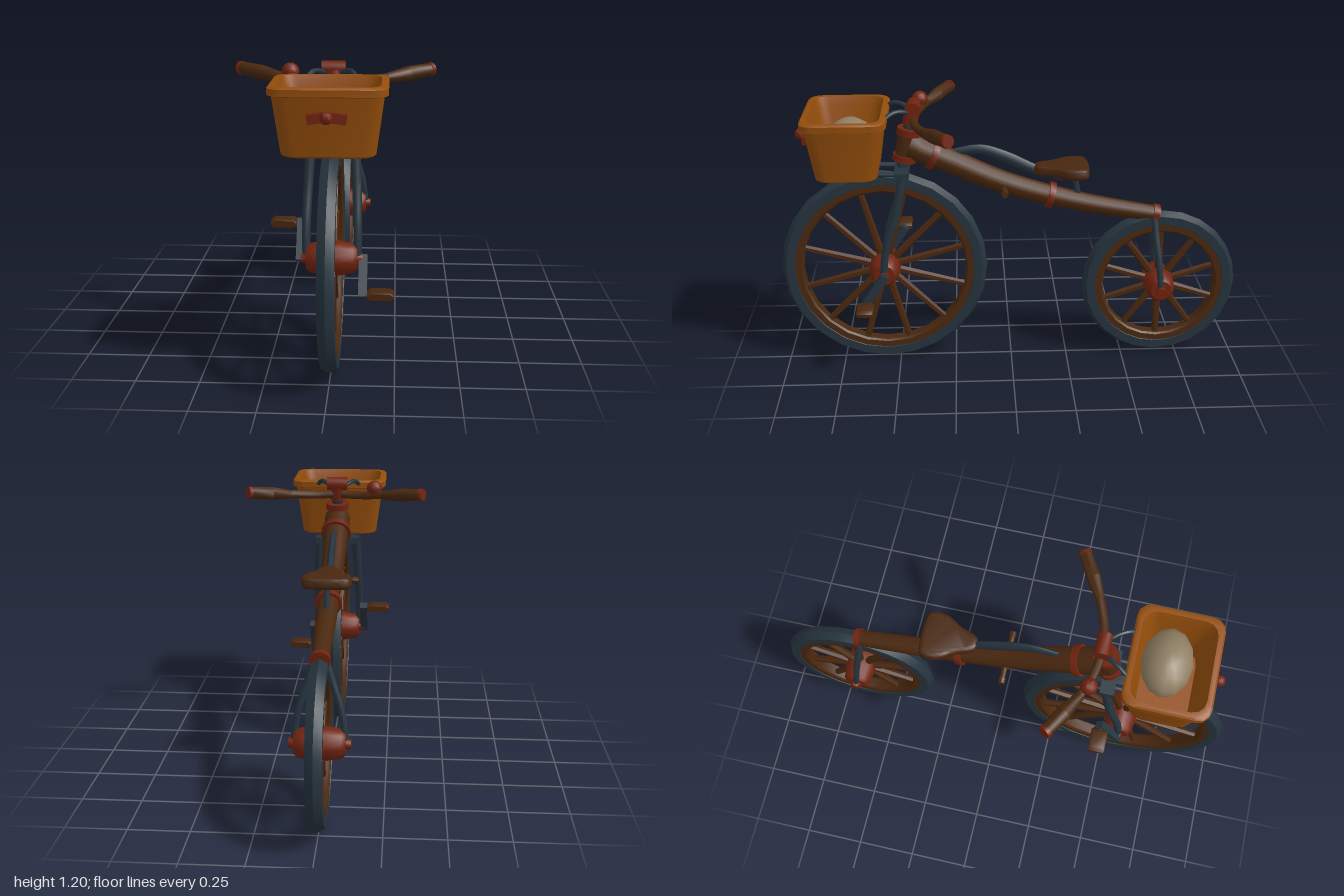
import * as THREE from 'three';
import { toCreasedNormals } from 'three/addons/utils/BufferGeometryUtils.js';

const mat = (name, color) => {
  const m = new THREE.MeshStandardMaterial({ color });
  m.name = name;
  return m;
};
const V = (x, y, z) => new THREE.Vector3(x, y, z);

export function createModel() {
  const wood = mat('dark wood', 0x4a280f);
  const leather = mat('brown leather', 0x48270f);
  const red = mat('rust red', 0x70230f);
  const slate = mat('slate metal', 0x26343e);
  const wicker = mat('orange wicker', 0x934d0b);
  const cream = mat('cream', 0x8f7f64);

  const model = new THREE.Group();
  model.name = 'bicycle';

  const add = (name, geo, material, parent = model, crease = 0.7) => {
    const m = new THREE.Mesh(toCreasedNormals(geo, crease), material);
    m.name = name;
    parent.add(m);
    return m;
  };
  // straight round bar between two points
  const rod = (name, a, b, r0, r1, material, parent = model, sides = 10) => {
    const d = b.clone().sub(a);
    const m = add(name, new THREE.CylinderGeometry(r1, r0, d.length(), sides), material, parent);
    m.position.copy(a).addScaledVector(d, 0.5);
    m.quaternion.setFromUnitVectors(V(0, 1, 0), d.normalize());
    return m;
  };
  // curved bar whose radius follows a rule along its length
  const bentBar = (curve, radius, segments = 14, sides = 10) => {
    const geo = new THREE.TubeGeometry(curve, segments, 1, sides, false);
    const p = geo.attributes.position, v = V(0, 0, 0);
    for (let i = 0; i < p.count; i++) {
      const t = Math.floor(i / (sides + 1)) / segments;
      const c = curve.getPointAt(t);
      v.fromBufferAttribute(p, i).sub(c).multiplyScalar(radius(t)).add(c);
      p.setXYZ(i, v.x, v.y, v.z);
    }
    return geo;
  };
  const spline = (...pts) => new THREE.CatmullRomCurve3(pts.map((p) => V(...p)));

  // wheels: tyre, rim, spokes, barrel hub and axle caps
  const wheel = (name, R, y, z, spokes, offset) => {
    const g = new THREE.Group();
    g.name = name;
    g.position.set(0, y, z);
    model.add(g);
    add('tyre', new THREE.TorusGeometry(R - 0.037, 0.037, 6, 24).rotateY(Math.PI / 2), slate, g, 0.3);
    const rimPts = [[-0.092, -0.022], [-0.084, -0.029], [-0.045, -0.029], [-0.045, 0.029], [-0.084, 0.029],
      [-0.092, 0.022], [-0.092, -0.022]].map(([r, h]) => new THREE.Vector2(R + r, h));
    add('rim', new THREE.LatheGeometry(rimPts, 24).rotateZ(Math.PI / 2), wood, g);
    for (let i = 0; i < spokes; i++) {
      const a = offset + (i / spokes) * Math.PI * 2;
      const at = (r) => V(0, Math.cos(a) * r, Math.sin(a) * r);
      rod('spoke', at(0.05), at(R - 0.075), 0.018, 0.014, wood, g, 6);
    }
    const hub = [[0, -0.1], [0.045, -0.1], [0.058, -0.085], [0.068, -0.03], [0.068, 0.03], [0.058, 0.085],
      [0.045, 0.1], [0, 0.1]].map(([r, h]) => new THREE.Vector2(r, h));
    add('hub', new THREE.LatheGeometry(hub, 14).rotateZ(Math.PI / 2), red, g);
    for (const s of [-1, 1]) rod('axleCap', V(s * 0.09, 0, 0), V(s * 0.122, 0, 0), 0.024, 0.019, red, g);
  };
  wheel('frontWheel', 0.448, 0.45, 0.553, 12, Math.PI / 12);
  wheel('rearWheel', 0.342, 0.35, -0.656, 10, 0);

  // backbone with bands
  const spine = spline([0, 1.01, 0.43], [0, 0.94, 0.27], [0, 0.835, 0.03], [0, 0.745, -0.28], [0, 0.675, -0.645]);
  add('backbone', bentBar(spine, (t) => 0.058 - 0.023 * t, 24, 12), wood);
  const band = (t, r) => {
    const p = spine.getPointAt(t), d = spine.getTangentAt(t);
    rod('backboneBand', p.clone().addScaledVector(d, -0.013), p.clone().addScaledVector(d, 0.013), r, r, red, model, 14);
  };
  band(0.1, 0.067);
  band(0.57, 0.057);
  band(0.985, 0.042);

  // steering column
  const steer = (y) => V(0, y, 0.46 - (y - 0.9) * 0.19);
  rod('steerer', steer(0.89), steer(1.17), 0.026, 0.026, slate);
  rod('headTube', steer(0.95), steer(1.075), 0.043, 0.043, wood, model, 14);
  rod('lowerHeadBand', steer(0.94), steer(0.968), 0.051, 0.051, red, model, 14);
  rod('upperHeadBand', steer(1.055), steer(1.083), 0.051, 0.051, red, model, 14);
  rod('stemClamp', steer(1.1), steer(1.165), 0.032, 0.032, red, model, 12);
  rod('stemCrossbar', V(-0.046, 1.173, 0.406), V(0.046, 1.173, 0.406), 0.03, 0.03, red, model, 12);

  // fork crown
  add('forkCrown', new THREE.BoxGeometry(0.2, 0.03, 0.06), slate).position.set(0, 0.9, 0.462);

  for (const s of [-1, 1]) {
    // fork legs and stays
    add('frontForkLeg', bentBar(spline([s * 0.085, 0.9, 0.458], [s * 0.095, 0.73, 0.492], [s * 0.1, 0.57, 0.54],
      [s * 0.1, 0.44, 0.556]), (t) => 0.02 - 0.004 * t), slate);
    add('rearForkLeg', bentBar(spline([s * 0.02, 0.685, -0.62], [s * 0.045, 0.6, -0.628], [s * 0.083, 0.48, -0.643],
      [s * 0.104, 0.335, -0.656]), (t) => 0.016 - 0.003 * t), slate);
    // basket supports
    rod('lowerBasketSupport', V(s * 0.06, 0.9, 0.45), V(s * 0.06, 0.9, 0.61), 0.012, 0.012, slate, model, 8);
    add('upperBasketSupport', bentBar(spline([s * 0.02, 1.15, 0.41], [s * 0.05, 1.168, 0.445], [s * 0.075, 1.172, 0.485],
      [s * 0.1, 1.145, 0.53]), () => 0.01, 8, 8), slate);
    // handlebar half, grip and end cap
    add('handlebar', bentBar(spline([0, 1.125, 0.408], [s * 0.1, 1.122, 0.395], [s * 0.2, 1.13, 0.36],
      [s * 0.26, 1.137, 0.325]), () => 0.018), wood);
    const inner = V(s * 0.205, 1.13, 0.36), outer = V(s * 0.376, 1.151, 0.265);
    const mid = inner.clone().lerp(outer, 0.5);
    rod('gripInner', inner, mid, 0.019, 0.03, leather);
    rod('gripOuter', mid, outer, 0.03, 0.026, leather);
    const tip = outer.clone().add(V(s * 0.013, 0.002, -0.008));
    rod('gripCap', outer, tip, 0.029, 0.026, red);
    // foot pegs
    rod('footPeg', V(0, 0.82, 0.03), V(s * 0.1, 0.82, 0.03), 0.012, 0.012, wood, model, 8);
    rod('footPegTip', V(s * 0.095, 0.82, 0.03), V(s * 0.117, 0.82, 0.03), 0.016, 0.014, wood, model, 8);
    // crank and pedal
    const py = 0.45 - s * 0.12, pz = 0.553 + s * 0.08;
    const crank = add('crank', new THREE.BoxGeometry(0.034, 0.17, 0.034), slate);
    crank.position.set(s * 0.123, (0.45 + py) / 2, (0.553 + pz) / 2);
    crank.rotation.x = Math.atan2(0.08, -0.12);
    rod('pedalAxle', V(s * 0.12, py, pz), V(s * 0.18, py, pz), 0.011, 0.011, slate, model, 8);
    const outline = [[-0.052, -0.007], [-0.038, -0.017], [0.038, -0.017], [0.052, -0.007],
      [0.052, 0.007], [0.038, 0.017], [-0.038, 0.017], [-0.052, 0.007]].map((p) => new THREE.Vector2(...p));
    const pedal = new THREE.ExtrudeGeometry(new THREE.Shape(outline),
      { depth: 0.056, bevelSize: 0.004, bevelThickness: 0.007, bevelOffset: -0.004, bevelSegments: 1 });
    add('pedal', pedal.translate(0, 0, -0.028), leather).position.set(s * 0.192, py, pz);
  }

  // saddle on a bowed spring and a short post
  const seat = new THREE.Shape();
  seat.moveTo(0, -0.095);
  seat.bezierCurveTo(0.055, -0.095, 0.035, -0.155, 0.08, -0.21);
  seat.bezierCurveTo(0.113, -0.25, 0.108, -0.315, 0.085, -0.325);
  seat.quadraticCurveTo(0, -0.34, -0.085, -0.325);
  seat.bezierCurveTo(-0.108, -0.315, -0.113, -0.25, -0.08, -0.21);
  seat.bezierCurveTo(-0.035, -0.155, -0.055, -0.095, 0, -0.095);
  const saddle = new THREE.ExtrudeGeometry(seat,
    { depth: 0.016, bevelSize: 0.018, bevelThickness: 0.016, bevelOffset: -0.018, bevelSegments: 4, curveSegments: 8 });
  add('saddle', saddle.rotateX(Math.PI / 2), leather).position.y = 0.901;
  const spring = spline([0, 0.975, 0.238], [0, 0.985, 0.13], [0, 0.948, 0.02], [0, 0.9, -0.08], [0, 0.87, -0.16], [0, 0.852, -0.225]);
  add('saddleSpring', bentBar(spring, (t) => 0.016 + 0.01 * Math.sin(Math.PI * t), 18).scale(0.6, 1, 1), slate);
  rod('saddlePost', V(0, 0.755, -0.29), V(0, 0.88, -0.27), 0.013, 0.013, slate);

  // bell
  add('bell', new THREE.SphereGeometry(0.035, 12, 8), red).position.set(-0.17, 1.157, 0.385);

  // basket: rounded rectangles joined from underside, over the rim, to the inner floor
  const levels = [[0.905, 0, 0], [0.905, 0.165, 0.12], [0.912, 0.174, 0.128], [1.13, 0.203, 0.16], [1.135, 0.217, 0.174],
    [1.16, 0.217, 0.174], [1.167, 0.21, 0.167], [1.167, 0.19, 0.148], [1.13, 0.18, 0.138], [0.93, 0.152, 0.106], [0.93, 0, 0]];
  const pos = [], idx = [], n = 16;
  for (const [y, w, d] of levels) {
    const r = Math.min(0.055, w, d);
    for (let j = 0; j < n; j++) {
      const q = Math.floor(j / 4), a = (q + (j % 4) / 3) * Math.PI / 2;
      const sx = q === 0 || q === 3 ? 1 : -1, sz = q < 2 ? 1 : -1;
      pos.push(sx * (w - r) + r * Math.cos(a), y, sz * (d - r) + r * Math.sin(a));
    }
  }
  for (let i = 0; i < levels.length - 1; i++) {
    for (let j = 0; j < n; j++) {
      const a = i * n + j, b = i * n + (j + 1) % n;
      idx.push(a, a + n, b, b, a + n, b + n);
    }
  }
  const basket = new THREE.BufferGeometry();
  basket.setAttribute('position', new THREE.Float32BufferAttribute(pos, 3));
  basket.setIndex(idx);
  add('basket', basket, wicker).position.z = 0.685;

  // loaf in the basket
  const loaf = add('loaf', new THREE.SphereGeometry(1, 12, 8), cream);
  loaf.scale.set(0.145, 0.105, 0.105);
  loaf.position.set(0.04, 1.035, 0.668);

  // bow on the basket
  const bow = new THREE.Group();
  bow.name = 'bow';
  bow.position.set(0, 1.065, 0.878);
  model.add(bow);
  add('bowKnot', new THREE.SphereGeometry(0.024, 10, 8), red, bow);
  for (const s of [-1, 1]) {
    const loop = add('bowLoop', new THREE.BoxGeometry(0.058, 0.036, 0.026), red, bow);
    loop.position.set(s * 0.042, -0.006, -0.026);
    loop.rotation.z = -s * 0.15;
  }
  return model;
}
